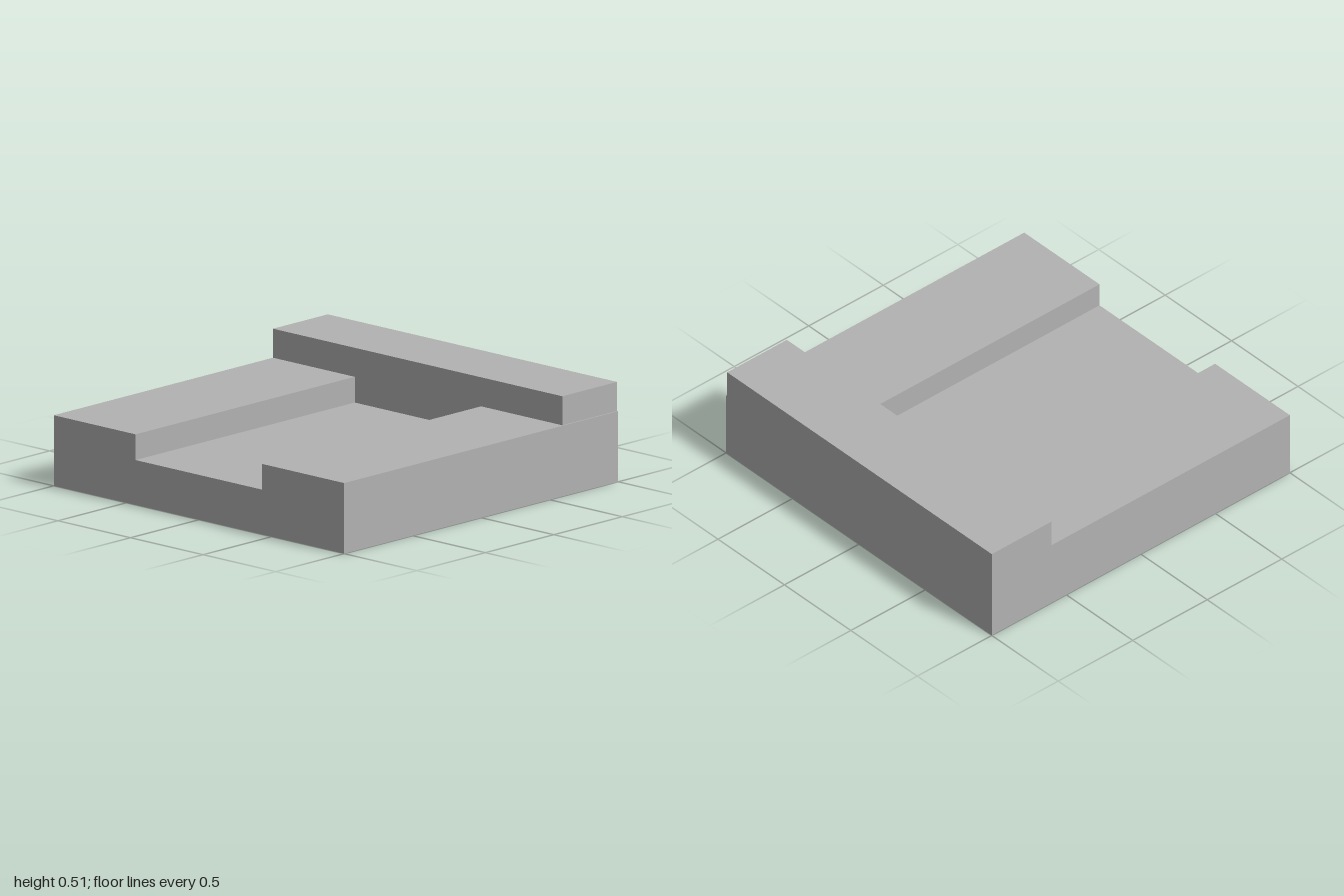
import * as THREE from 'three';

export function createModel() {
  const group = new THREE.Group();
  const grey = new THREE.MeshStandardMaterial({ color: 0xb2b2b2 });
  grey.name = 'plain grey';

  // Extrude a side profile along +x, from x0 to x1; points are [z, y]
  function extrudeAlongX(name, points, x0, x1) {
    const shape = new THREE.Shape(points.map(([z, y]) => new THREE.Vector2(-z, y)));
    const geometry = new THREE.ExtrudeGeometry(shape, { depth: x1 - x0, bevelEnabled: false });
    geometry.rotateY(Math.PI / 2).translate(x0, 0, 0);
    const mesh = new THREE.Mesh(geometry, grey);
    mesh.name = name;
    group.add(mesh);
  }

  const top = 0.365, floor = 0.232, barTop = 0.515, barX = 0.6;

  // Slab with a wide channel running across it
  extrudeAlongX('channelledSlab', [
    [1, 0], [-1, 0], [-1, top], [-0.437, top], [-0.437, floor],
    [0.433, floor], [0.433, top], [1, top],
  ], -1, barX);

  // Solid end of the slab, closing the channel
  extrudeAlongX('slabEnd', [[1, 0], [-1, 0], [-1, top], [1, top]], barX, 1);

  // Raised bar along the closed end, set back a little at the front
  extrudeAlongX('raisedBar', [[0.992, top], [-1, top], [-1, barTop], [0.992, barTop]], barX, 1);

  return group;
}
